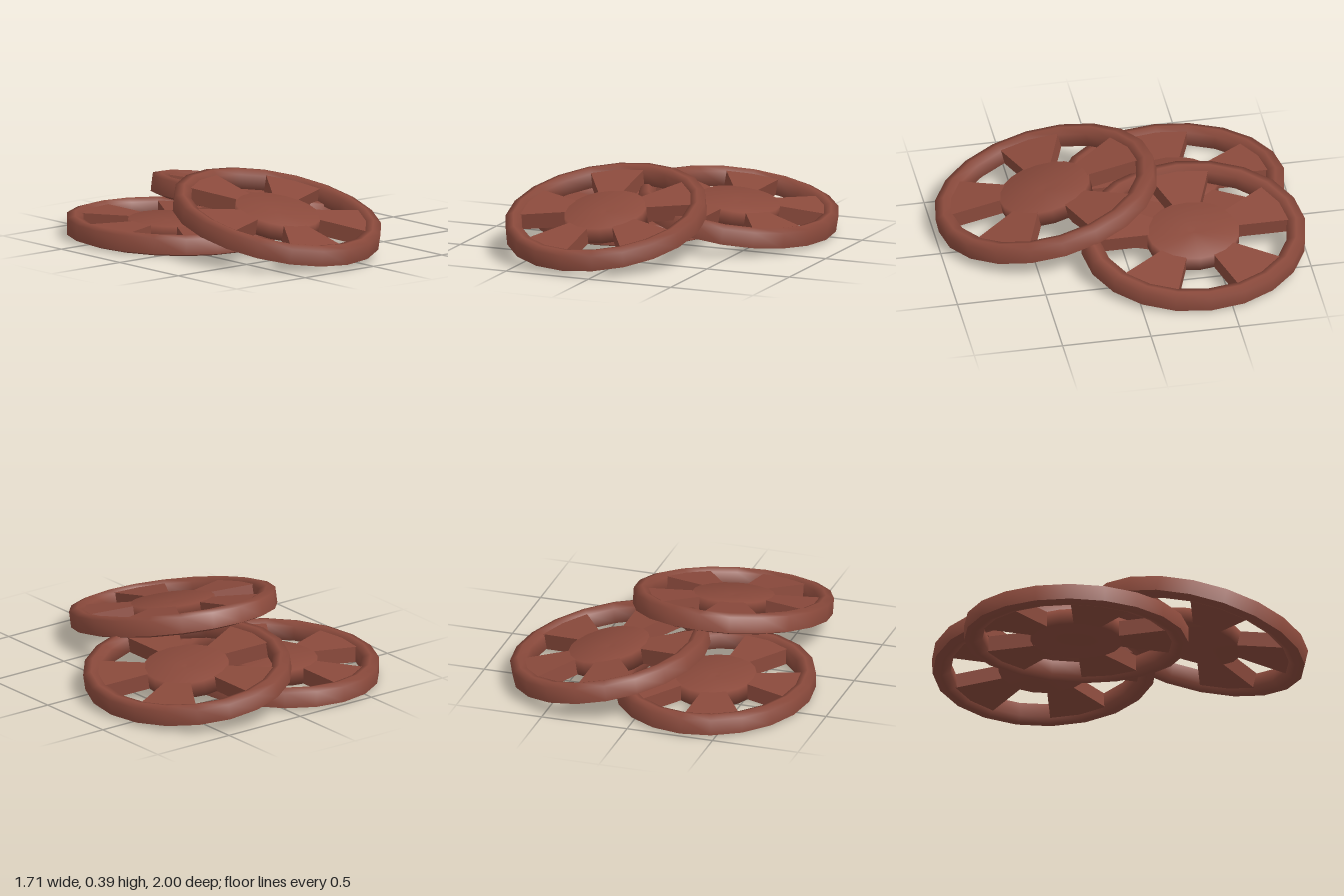
import * as THREE from 'three';

const material = new THREE.MeshStandardMaterial({ color: 0x8b4a3c, side: THREE.DoubleSide });
const RX = 0.55, RZ = 0.63; // the wheels are slightly oval
const STEP = Math.PI / 5;   // one spoke or one window

const toPoints = (list) => list.map(([r, y]) => new THREE.Vector2(r, y));

function addPart(group, name, geometry) {
  geometry.scale(RX, 1, RZ);
  const mesh = new THREE.Mesh(geometry, material);
  mesh.name = name;
  group.add(mesh);
}

function createWheel(name) {
  const wheel = new THREE.Group();
  wheel.name = name;

  // Rounded 20-sided rim
  const rim = [[1, -0.045], [1, 0.045], [0.92, 0.06], [0.84, 0.042], [0.84, -0.042], [0.92, -0.06], [1, -0.045]];
  addPart(wheel, 'rim', new THREE.LatheGeometry(toPoints(rim), 20));

  // Hub disc, slightly dished towards the middle
  const hub = [[0, -0.033], [0.41, -0.045], [0.41, 0.045], [0, 0.033]];
  addPart(wheel, 'hub', new THREE.LatheGeometry(toPoints(hub), 20));

  // Five wedge spokes, each with two side walls
  const top = [[0.86, 0.045], [0.4, 0.045]];
  const bottom = [[0.4, -0.045], [0.86, -0.045]];
  for (let i = 0; i < 5; i++) {
    const start = STEP + i * 2 * STEP;
    addPart(wheel, 'spokeTop', new THREE.LatheGeometry(toPoints(top), 2, start, STEP));
    addPart(wheel, 'spokeBottom', new THREE.LatheGeometry(toPoints(bottom), 2, start, STEP));
    for (const angle of [start, start + STEP]) {
      const wall = new THREE.PlaneGeometry(0.46, 0.09).translate(0.63, 0, 0);
      if (angle === start) wall.rotateX(Math.PI); // face into the window
      addPart(wheel, 'spokeSide', wall.rotateY(angle - Math.PI / 2));
    }
  }
  return wheel;
}

export function createModel() {
  const model = new THREE.Group();
  model.name = 'wheelPile';

  // One wheel lies flat, two lean on the pile
  const lower = createWheel('lowerWheel');
  lower.position.set(-0.31, 0.063, -0.37);

  const middle = createWheel('middleWheel');
  middle.position.set(0.305, 0.155, -0.37);
  middle.rotation.z = -0.17;

  const upper = createWheel('upperWheel');
  upper.position.set(-0.17, 0.21, 0.373);
  upper.rotation.x = 0.217;

  model.add(lower, middle, upper);
  return model;
}
